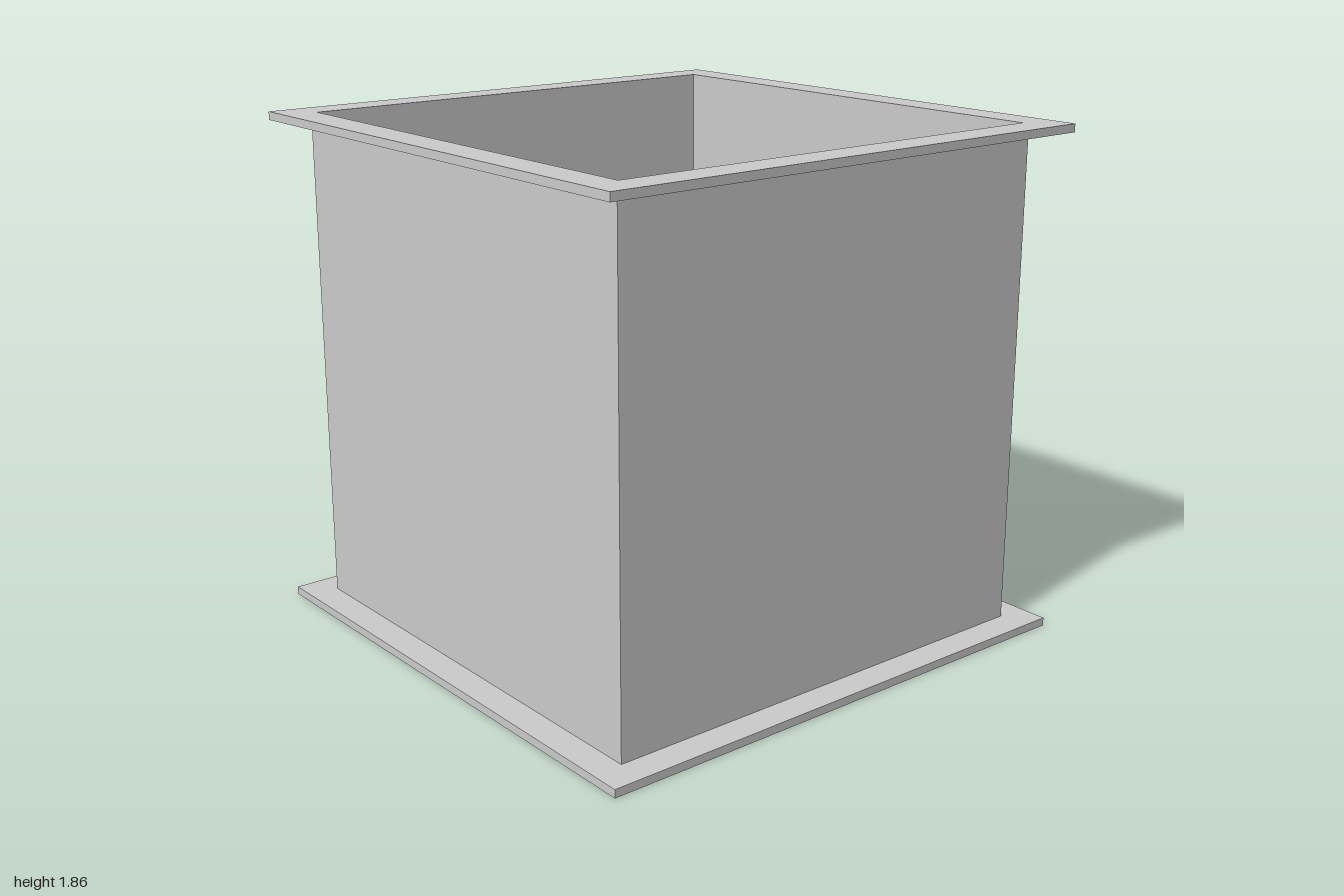
import * as THREE from 'three';

const HEIGHT = 1.86;      // overall height
const PLATE = 0.03;       // flange thickness
const INNER = 0.875;      // half width of the opening
const OUTER = 0.89;       // half width over the walls

export function createModel() {
  const model = new THREE.Group();
  const material = new THREE.MeshStandardMaterial({ color: 0xcccccc, flatShading: true });

  const addBox = (parent, name, size, position) => {
    const mesh = new THREE.Mesh(new THREE.BoxGeometry(...size), material);
    mesh.name = name;
    mesh.position.set(...position);
    parent.add(mesh);
  };

  // One channel facing +z: a thin web with a flange at the bottom and top
  const createChannel = (name, webLength, flangeLength) => {
    const channel = new THREE.Group();
    channel.name = name;
    addBox(channel, 'wall', [webLength, HEIGHT - 2 * PLATE, OUTER - INNER],
      [0, HEIGHT / 2, (INNER + OUTER) / 2]);
    const z = (INNER + 1) / 2;
    addBox(channel, 'bottomFlange', [flangeLength, PLATE, 1 - INNER], [0, PLATE / 2, z]);
    addBox(channel, 'topFlange', [flangeLength, PLATE, 1 - INNER], [0, HEIGHT - PLATE / 2, z]);
    return channel;
  };

  // Side channels run the full depth; front and back fit between them
  ['front', 'left', 'back', 'right'].forEach((side, i) => {
    const isSide = i % 2 === 1;
    const channel = createChannel(side + 'Channel',
      isSide ? 2 * OUTER : 2 * INNER, isSide ? 2 : 2 * INNER);
    channel.rotation.y = i * Math.PI / 2;
    model.add(channel);
  });

  return model;
}
